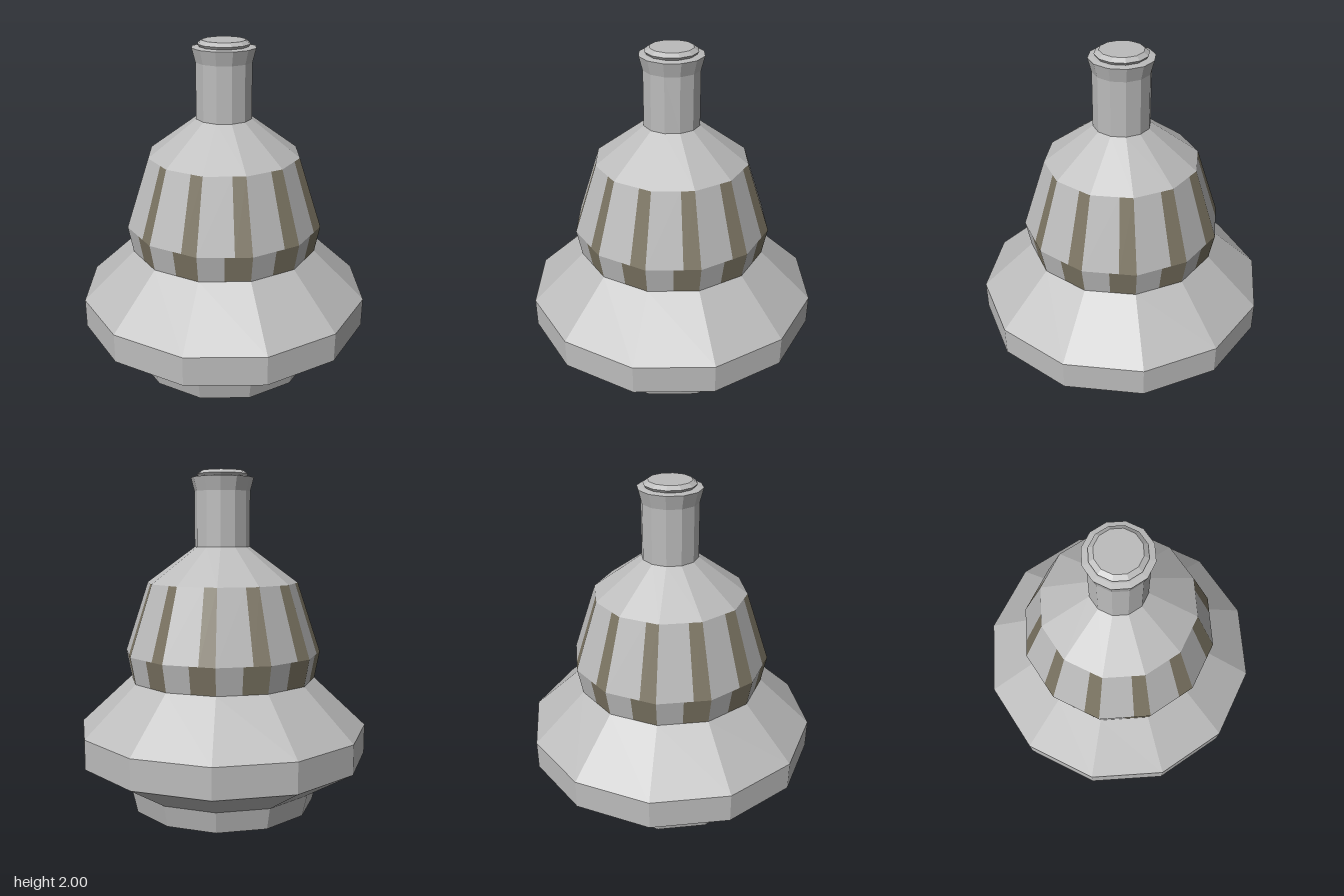
import * as THREE from 'three';

const SIDES = 12;
const STEP = (Math.PI * 2) / SIDES;
const START = THREE.MathUtils.degToRad(-7);

const grey = new THREE.MeshStandardMaterial({ color: 0xbcbcbc });
grey.name = 'stone grey';
const brown = new THREE.MeshStandardMaterial({ color: 0x7c7563 });
brown.name = 'dull brown';

function addMesh(group, name, geometry, material) {
  const mesh = new THREE.Mesh(geometry, material);
  mesh.name = name;
  group.add(mesh);
}

// Faceted twelve-sided turned part from [radius, height] pairs, bottom to top
function turned(profile) {
  const points = profile.map(([r, y]) => new THREE.Vector2(r, y));
  const geometry = new THREE.LatheGeometry(points, SIDES, START, Math.PI * 2).toNonIndexed();
  geometry.computeVertexNormals();
  return geometry;
}

// Part of every facet of a band, between fractions t0 and t1 of its width
function facetStrips([r0, y0], [r1, y1], t0, t1) {
  const positions = [];
  for (let i = 0; i < SIDES; i++) {
    const a = START + i * STEP;
    const corner = (r, y, t) => {
      const p = new THREE.Vector3(Math.sin(a) * r, y, Math.cos(a) * r);
      const q = new THREE.Vector3(Math.sin(a - STEP) * r, y, Math.cos(a - STEP) * r);
      return p.lerp(q, t).toArray();
    };
    const rb = corner(r0, y0, t0), lb = corner(r0, y0, t1);
    const rt = corner(r1, y1, t0), lt = corner(r1, y1, t1);
    positions.push(...lb, ...rb, ...rt, ...lb, ...rt, ...lt);
  }
  const geometry = new THREE.BufferGeometry();
  geometry.setAttribute('position', new THREE.Float32BufferAttribute(positions, 3));
  geometry.computeVertexNormals();
  return geometry;
}

export function createModel() {
  const model = new THREE.Group();
  model.name = 'towerVessel';

  // Foot and wide skirt
  addMesh(model, 'footAndSkirt', turned([
    [0, 0], [0.56, 0], [0.59, 0.13], [0.871, 0.305], [0.871, 0.48], [0.56, 0.77],
  ]), grey);

  // Striped belly: wide stripes below, narrow ones above
  const bands = [
    { name: 'lowerBelly', from: [0.56, 0.77], to: [0.59, 0.93], split: 0.5 },
    { name: 'upperBelly', from: [0.59, 0.93], to: [0.452, 1.345], split: 0.32 },
  ];
  for (const { name, from, to, split } of bands) {
    addMesh(model, name + 'Stripes', facetStrips(from, to, 0, split), brown);
    addMesh(model, name + 'Panels', facetStrips(from, to, split, 1), grey);
  }

  // Shoulder, neck and flared lip
  addMesh(model, 'shoulderAndNeck', turned([
    [0.452, 1.345], [0.165, 1.557], [0.165, 1.88], [0.186, 1.96], [0.155, 1.965], [0, 1.965],
  ]), grey);

  // Small lid
  addMesh(model, 'lid', turned([
    [0.14, 1.963], [0.152, 1.98], [0.125, 2], [0, 2],
  ]), grey);

  return model;
}
